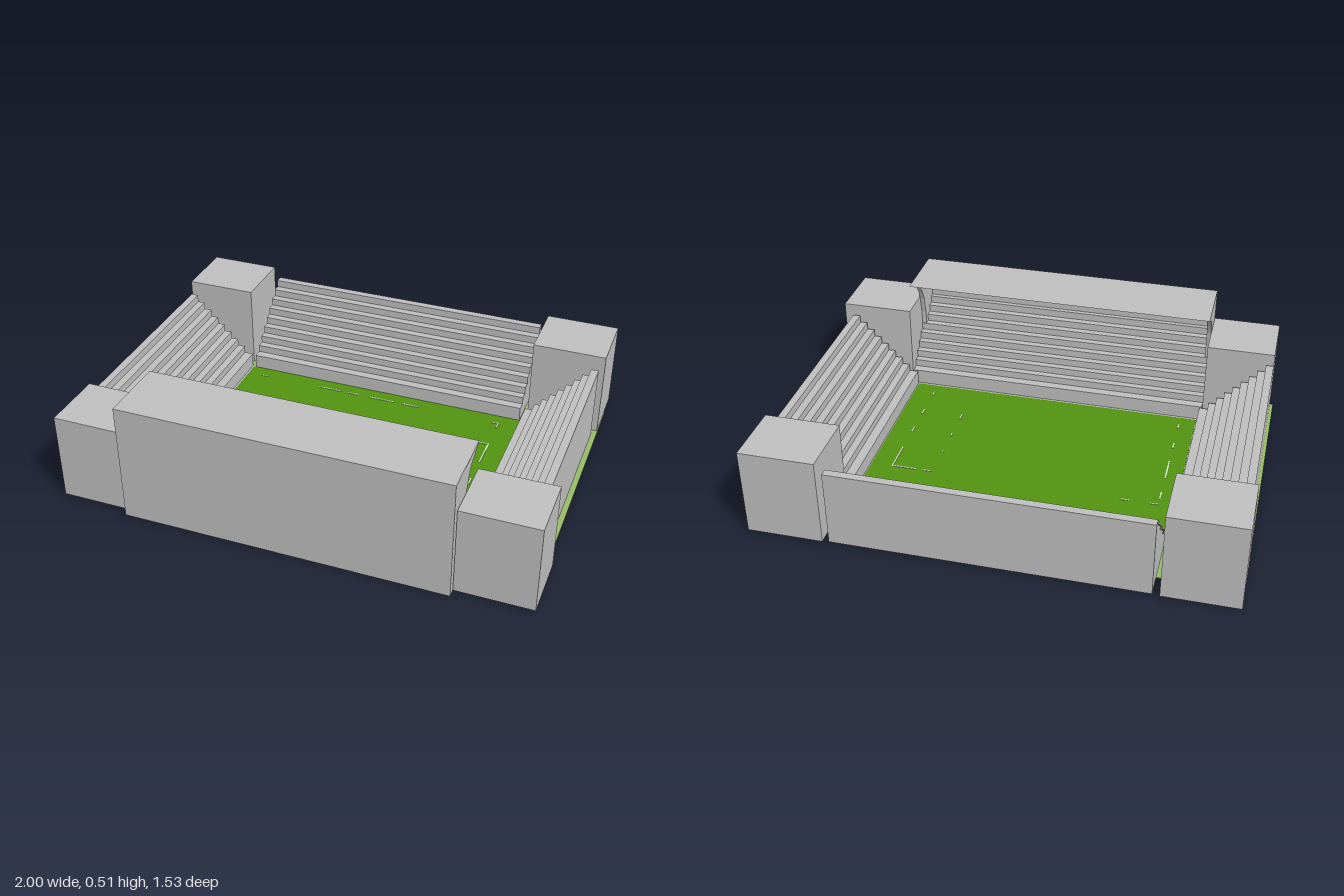
import * as THREE from 'three';

const concrete = new THREE.MeshStandardMaterial({ name: 'concrete grey', color: 0xc0c0c0 });
const grass = new THREE.MeshStandardMaterial({ name: 'pitch green', color: 0x529410 });
const verge = new THREE.MeshStandardMaterial({ name: 'verge green', color: 0x97bc6a });
const chalk = new THREE.MeshStandardMaterial({ name: 'line white', color: 0xdde8d2 });

// Box given by its limits on each axis
function block(name, mat, [x0, x1], [y0, y1], [z0, z1]) {
  const mesh = new THREE.Mesh(new THREE.BoxGeometry(x1 - x0, y1 - y0, z1 - z0), mat);
  mesh.position.set((x0 + x1) / 2, (y0 + y1) / 2, (z0 + z1) / 2);
  mesh.name = name;
  return mesh;
}

// Extrudes a (distance outwards, height) section sideways, centred on its length
function extruded(name, points, length, angle) {
  const shape = new THREE.Shape(points.map(([d, h]) => new THREE.Vector2(d, h)));
  const geo = new THREE.ExtrudeGeometry(shape, { depth: length, bevelEnabled: false });
  geo.translate(0, 0, -length / 2);
  geo.rotateY(angle);
  const mesh = new THREE.Mesh(geo, concrete);
  mesh.name = name;
  return mesh;
}

// Terrace section: low front wall, eight steps, upright back
function terrace(inner, outer, base) {
  const points = [[inner, base], [inner, 0.075]];
  const first = inner + 0.04, run = (outer - first) / 8, rise = (0.34 - 0.075) / 8;
  for (let i = 0; i < 8; i++) {
    points.push([first + run * i, 0.075 + rise * i], [first + run * i, 0.075 + rise * (i + 1)]);
  }
  points.push([outer, 0.34], [outer, base]);
  return points;
}

export function createModel() {
  const model = new THREE.Group();
  model.name = 'stadium';

  // Ground and pitch
  model.add(
    block('ground', verge, [-1, 0.98], [0.003, 0.008], [-0.66, 0.67]),
    block('pitchBorder', concrete, [-0.68, 0.66], [0.006, 0.01], [-0.455, 0.462]),
    block('pitch', grass, [-0.67, 0.65], [0.006, 0.013], [-0.445, 0.448])
  );

  // Worn pitch markings: [x0, x1, z] and [x, z0, z1]
  const markings = new THREE.Group();
  markings.name = 'pitchMarkings';
  const across = [
    [-0.31, -0.2, -0.385], [-0.17, -0.115, -0.385], [-0.06, 0.06, -0.385], [0.1, 0.18, -0.385],
    [-0.6, -0.57, -0.385], [0.525, 0.555, -0.385], [-0.6, -0.565, -0.215], [-0.48, -0.44, -0.215],
    [0.38, 0.42, -0.215], [0.45, 0.555, -0.215]
  ];
  const along = [
    [-0.6, -0.18, -0.13], [-0.6, -0.03, 0.1], [-0.6, 0.2, 0.24], [-0.6, 0.36, 0.39],
    [0.555, -0.22, -0.07], [0.555, 0.05, 0.09], [0.555, 0.2, 0.24], [0.555, 0.36, 0.39],
    [0.555, -0.385, -0.35], [0.375, -0.07, -0.06], [0.375, 0.06, 0.08], [0.375, 0.2, 0.24]
  ];
  across.forEach(([x0, x1, z]) =>
    markings.add(block('line', chalk, [x0, x1], [0.012, 0.015], [z - 0.003, z + 0.003])));
  along.forEach(([x, z0, z1]) =>
    markings.add(block('line', chalk, [x - 0.003, x + 0.003], [0.012, 0.015], [z0, z1])));
  model.add(markings);

  // Open terraces on three sides
  const left = extruded('leftStand', terrace(0.655, 0.957, 0.01), 0.91, 0);
  const right = extruded('rightStand', terrace(0.68, 0.985, 0.01), 0.91, Math.PI);
  const back = extruded('backStand', terrace(0.447, 0.76, 0.01), 1.295, Math.PI / 2);
  back.position.x = -0.013;
  model.add(left, right, back);

  // Covered main stand: terrace, back wall with roof, curved end walls
  const main = new THREE.Group();
  main.name = 'mainStand';
  main.position.x = -0.005;
  main.add(extruded('mainTerrace', terrace(0.464, 0.75, 0), 1.37, -Math.PI / 2));
  main.add(extruded('roofAndBackWall', [
    [0.765, 0], [0.765, 0.515], [0.47, 0.515], [0.57, 0.465], [0.74, 0.45], [0.74, 0]
  ], 1.37, -Math.PI / 2));
  for (const side of [-1, 1]) {
    const wall = extruded('endWall', [
      [0.764, 0.001], [0.764, 0.514], [0.472, 0.514], [0.57, 0.465],
      [0.595, 0.425], [0.615, 0.38], [0.63, 0.3], [0.635, 0.001]
    ], 0.02, -Math.PI / 2);
    wall.position.x = side * 0.6755;
    main.add(wall);
  }
  model.add(main);

  // Corner towers
  const towers = [
    ['backRightTower', [-1, -0.69], [-0.765, -0.49]],
    ['backLeftTower', [0.66, 0.977], [-0.765, -0.49]],
    ['frontRightTower', [-0.985, -0.692], [0.468, 0.74]],
    ['frontLeftTower', [0.683, 1], [0.468, 0.74]]
  ];
  towers.forEach(([name, x, z]) => model.add(block(name, concrete, x, [0.01, 0.387], z)));

  return model;
}
